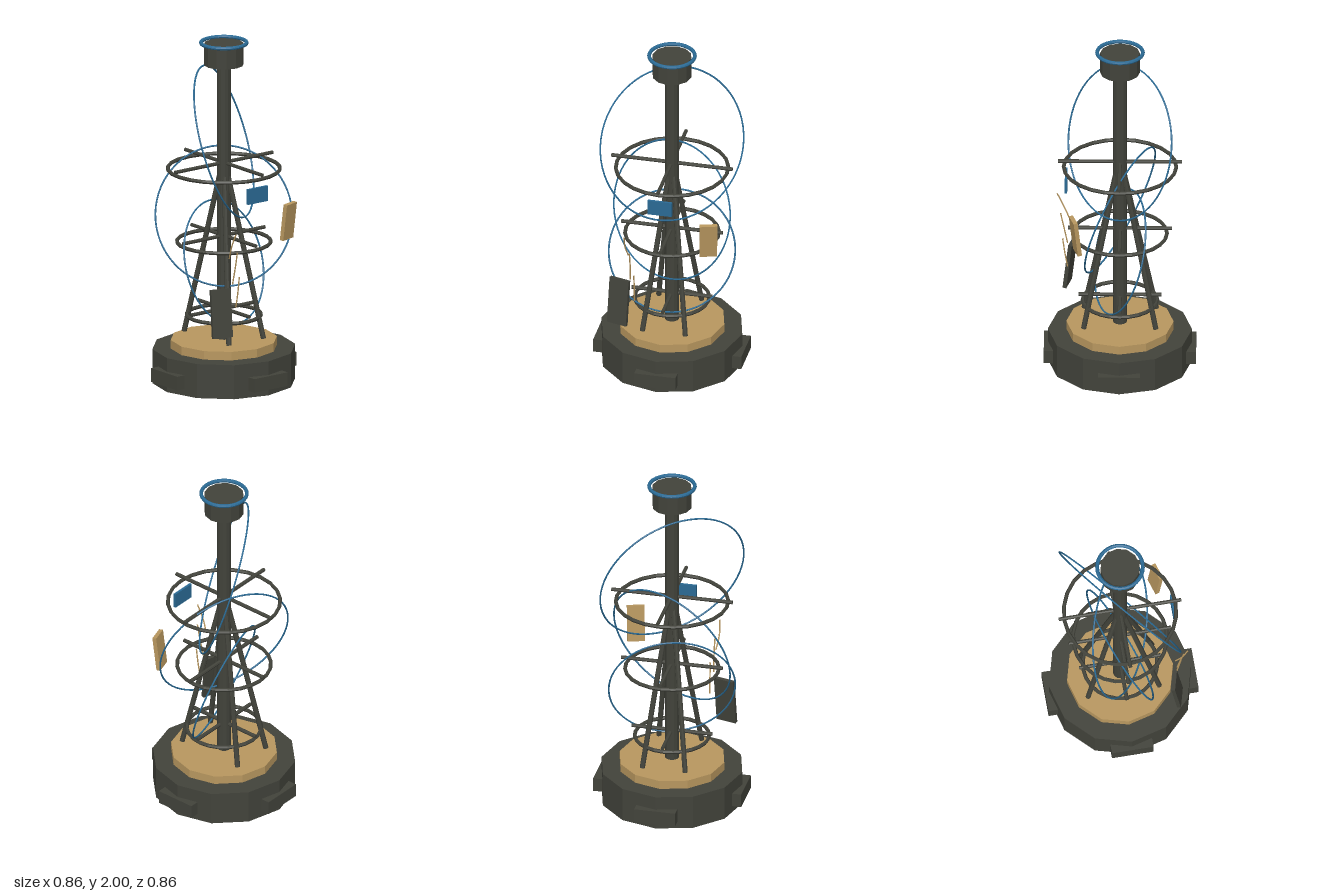
import * as THREE from 'three';

const flat = (name, color) => {
  const m = new THREE.MeshStandardMaterial({ color });
  m.name = name;
  m.flatShading = true;
  return m;
};

export function createModel() {
  const root = new THREE.Group();
  root.name = 'antennaTower';
  const dark = flat('darkMetal', 0x42433b);
  const tan = flat('tanMetal', 0xb8975f);
  const blue = flat('blueMetal', 0x2a6a94);

  const add = (name, geometry, material, x = 0, y = 0, z = 0, rx = 0, ry = 0) => {
    const mesh = new THREE.Mesh(geometry, material);
    mesh.name = name;
    mesh.position.set(x, y, z);
    mesh.rotation.set(rx, ry, 0, 'YXZ');
    root.add(mesh);
    return mesh;
  };
  const drum = (name, material, r, y0, y1) =>
    add(name, new THREE.CylinderGeometry(r, r, y1 - y0, 12), material, 0, (y0 + y1) / 2, 0);
  // Straight round bar between two points
  const bar = (name, material, a, b, r, sides = 8) => {
    const p = new THREE.Vector3(...a), q = new THREE.Vector3(...b);
    const mesh = add(name, new THREE.CylinderGeometry(r, r, p.distanceTo(q), sides), material);
    mesh.position.copy(p).add(q).multiplyScalar(0.5);
    mesh.quaternion.setFromUnitVectors(new THREE.Vector3(0, 1, 0), q.sub(p).normalize());
  };

  // Base, deck, mast and head
  drum('base', dark, 0.41, 0, 0.2);
  drum('deck', tan, 0.305, 0.2, 0.25);
  drum('mast', dark, 0.04, 0.25, 1.87);
  drum('head', dark, 0.113, 1.86, 1.985);
  add('headRing', new THREE.TorusGeometry(0.13, 0.011, 8, 32), blue, 0, 1.989, 0, Math.PI / 2);

  // Four blocks around the base
  for (let i = 0; i < 4; i++) {
    const a = i * Math.PI / 2;
    add('baseBlock', new THREE.BoxGeometry(0.24, 0.08, 0.06), dark,
      Math.sin(a) * 0.402, 0.08, Math.cos(a) * 0.402, 0, a);
  }

  // Splayed legs
  for (const sx of [-1, 1]) for (const sz of [-1, 1])
    bar('leg', dark, [sx * 0.125, 0.27, sz * 0.205], [sx * 0.01, 1.24, sz * 0.015], 0.015);

  // Three hoops, each with crossed bars above
  for (const [r, half, y] of [[0.212, 0.235, 0.39], [0.267, 0.295, 0.82], [0.32, 0.353, 1.25]]) {
    add('hoop', new THREE.TorusGeometry(r, 0.011, 6, 24), dark, 0, y, 0, Math.PI / 2);
    bar('crossBar', dark, [-half, y + 0.034, 0], [half, y + 0.034, 0], 0.011);
    bar('crossBar', dark, [0, y + 0.034, -half], [0, y + 0.034, half], 0.011);
  }

  // Large tilted wire rings
  for (const [r, y, yaw] of [[0.446, 1.408, 0.67], [0.401, 0.97, -0.41], [0.36, 0.698, 0.29]])
    add('orbitRing', new THREE.TorusGeometry(r, 0.005, 6, 64), blue, 0, y, 0, -0.316, yaw);

  // Floating plates
  add('bluePlate', new THREE.BoxGeometry(0.142, 0.09, 0.014), blue, 0, 1.157, 0.306);
  add('tanPlate', new THREE.BoxGeometry(0.1, 0.214, 0.024), tan, 0.27, 0.947, 0.25, 0.12, 0.3);
  add('darkPlate', new THREE.BoxGeometry(0.122, 0.28, 0.022), dark, -0.245, 0.497, 0.287, -0.12, -0.26);

  // Loose slivers of wire
  const wires = [
    [[-0.195, 0.97, 0.36], [-0.2, 0.89, 0.325], [-0.188, 0.81, 0.288]],
    [[-0.17, 0.855, 0.34], [-0.17, 0.75, 0.318], [-0.174, 0.66, 0.3]],
    [[-0.147, 0.705, 0.328], [-0.147, 0.61, 0.315], [-0.15, 0.52, 0.3]],
  ];
  for (const pts of wires) {
    const curve = new THREE.CatmullRomCurve3(pts.map(p => new THREE.Vector3(...p)));
    add('wire', new THREE.TubeGeometry(curve, 8, 0.004, 6), tan);
  }
  return root;
}
